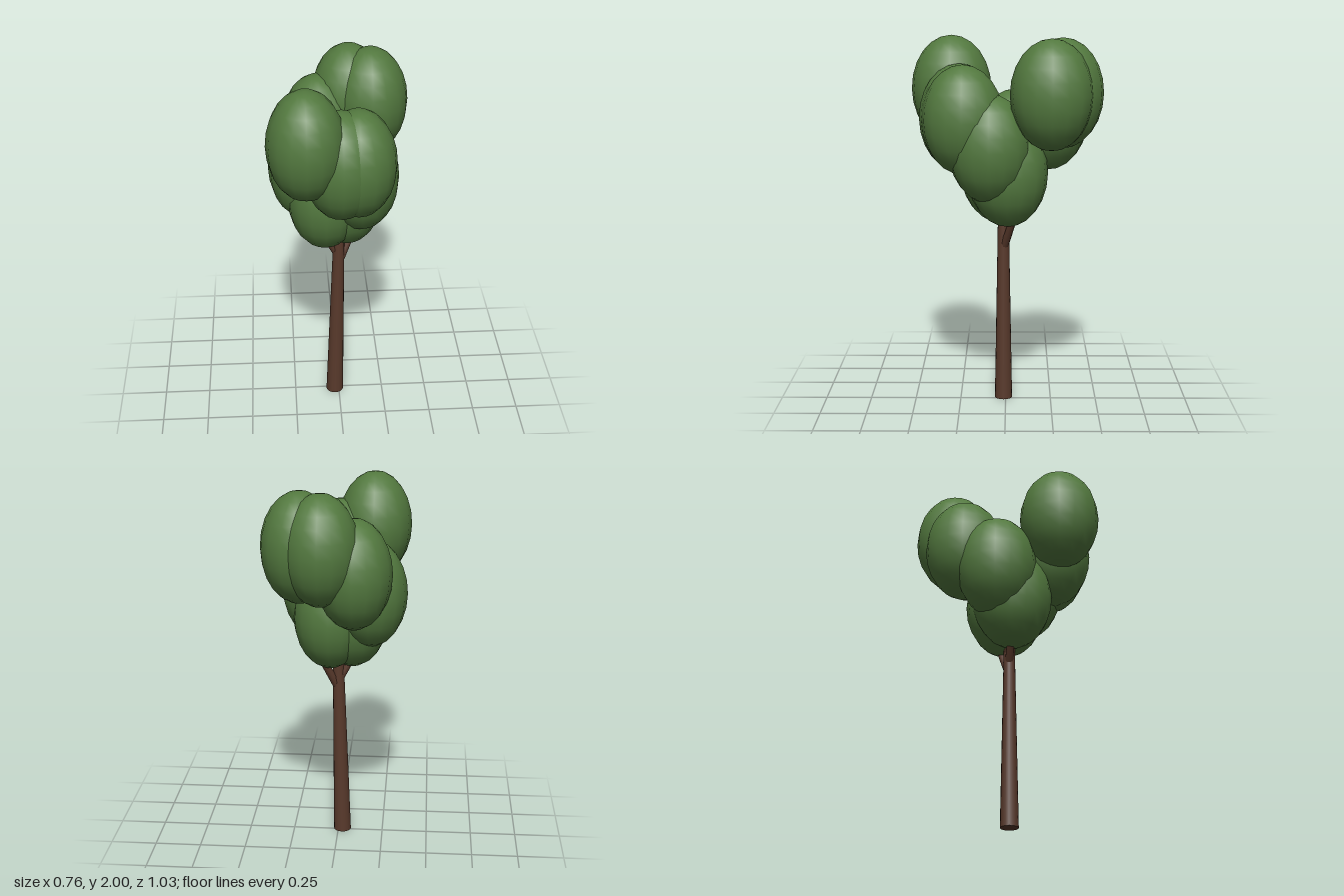
import * as THREE from 'three';

export function createModel() {
  const tree = new THREE.Group();
  tree.name = 'tree';

  const bark = new THREE.MeshStandardMaterial({ color: 0x58392b });
  bark.name = 'bark brown';
  const leaf = new THREE.MeshStandardMaterial({ color: 0x53793f });
  leaf.name = 'leaf green';

  // Tapered limb between two points
  function limb(name, from, to, r0, r1, sides) {
    const a = new THREE.Vector3(...from);
    const b = new THREE.Vector3(...to);
    const dir = b.clone().sub(a);
    const mesh = new THREE.Mesh(new THREE.CylinderGeometry(r1, r0, dir.length(), sides), bark);
    mesh.position.copy(a).add(b).multiplyScalar(0.5);
    mesh.quaternion.setFromUnitVectors(new THREE.Vector3(0, 1, 0), dir.normalize());
    mesh.name = name;
    tree.add(mesh);
  }

  // Slightly leaning trunk with its foot flat on the ground
  const trunkGeo = new THREE.CylinderGeometry(0.028, 0.048, 1.12, 16);
  const p = trunkGeo.attributes.position;
  for (let i = 0; i < p.count; i++) {
    const t = p.getY(i) / 1.12 + 0.5;
    p.setXYZ(i, p.getX(i) - 0.023 + 0.026 * t, p.getY(i) + 0.56, p.getZ(i) + 0.012);
  }
  trunkGeo.computeBoundingSphere();
  const trunk = new THREE.Mesh(trunkGeo, bark);
  trunk.name = 'trunk';
  tree.add(trunk);

  // Branches forking from the trunk top into the crown
  limb('leftBranch', [0.01, 0.88, 0.005], [0.11, 1.1, -0.06], 0.022, 0.019, 10);
  limb('rightBranch', [-0.005, 0.91, 0.01], [-0.11, 1.1, 0.03], 0.022, 0.019, 10);
  limb('backBranch', [0.05, 1.0, -0.03], [0.1, 1.6, -0.25], 0.018, 0.011, 10);
  limb('frontBranch', [0, 1.05, 0.01], [-0.13, 1.6, 0.25], 0.018, 0.011, 10);

  // Egg-shaped foliage clumps, from the bottom tier to the top tier
  const clumps = [
    [-0.075, 1.28, 0.03], [0.04, 1.28, -0.01],
    [-0.17, 1.42, -0.05], [0.11, 1.42, 0.085],
    [0.0, 1.57, 0.245], [0.085, 1.57, 0.225], [-0.095, 1.57, -0.23],
    [-0.18, 1.71, 0.295], [0.07, 1.71, -0.3], [0.18, 1.71, -0.24],
  ];
  const foliageGeo = new THREE.SphereGeometry(1, 16, 12).scale(0.2, 0.29, 0.217);
  const foliage = new THREE.Group();
  foliage.name = 'foliage';
  clumps.forEach((c, i) => {
    const mesh = new THREE.Mesh(foliageGeo, leaf);
    mesh.position.set(...c);
    mesh.name = `foliageClump${i + 1}`;
    foliage.add(mesh);
  });
  tree.add(foliage);

  return tree;
}
